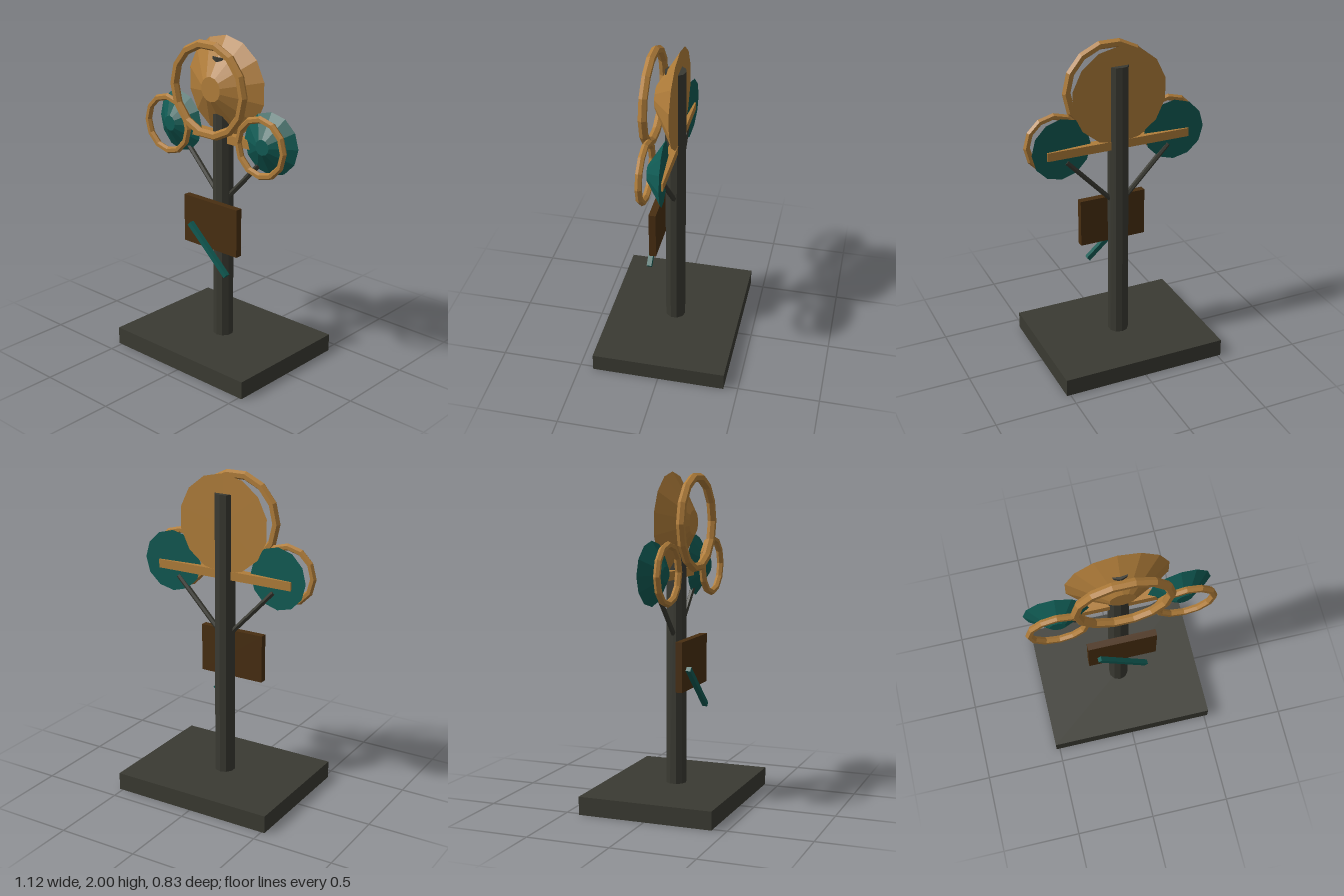
import * as THREE from 'three';

function flat(name, color) {
  const m = new THREE.MeshStandardMaterial({ color, flatShading: true });
  m.name = name;
  return m;
}

export function createModel() {
  const model = new THREE.Group();
  const charcoal = flat('charcoal', 0x3a3a32);
  const gold = flat('gold', 0xb07d3a);
  const teal = flat('teal', 0x105a53);
  const brown = flat('brown', 0x482e11);

  function add(name, geometry, material, x, y, z) {
    const mesh = new THREE.Mesh(geometry, material);
    mesh.name = name;
    mesh.position.set(x, y, z);
    model.add(mesh);
    return mesh;
  }

  // Truncated cone lying on its back, narrow end toward +z
  function dishGeometry(front, back, depth, sides) {
    return new THREE.CylinderGeometry(front, back, depth, sides)
      .translate(0, depth / 2, 0)
      .rotateX(Math.PI / 2);
  }

  // Stand
  add('base', new THREE.BoxGeometry(1.044, 0.11, 0.826), charcoal, 0, 0.055, 0);
  add('pole', new THREE.CylinderGeometry(0.063, 0.063, 1.77, 10), charcoal, 0, 0.995, 0);
  add('crossbar', new THREE.BoxGeometry(0.91, 0.053, 0.054), gold, 0, 1.392, 0);

  // Large central dish and its floating ring
  add('mainDish', dishGeometry(0.075, 0.3, 0.135, 14), gold, 0, 1.7, -0.025);
  add('mainRing', new THREE.TorusGeometry(0.27, 0.027, 6, 14), gold, 0, 1.7, 0.13);

  // Side dishes turned slightly outward, with rings and diagonal struts
  for (const side of [1, -1]) {
    const prefix = side > 0 ? 'left' : 'right';
    const dish = add(prefix + 'Dish', dishGeometry(0.047, 0.19, 0.09, 12), teal, side * 0.362, 1.42, -0.01);
    dish.rotation.y = side * 0.08;
    add(prefix + 'Ring', new THREE.TorusGeometry(0.169, 0.021, 6, 12), gold, side * 0.37, 1.42, 0.0925);

    const low = new THREE.Vector3(side * 0.04, 1.025, 0);
    const high = new THREE.Vector3(side * 0.33, 1.33, 0);
    const mid = low.clone().add(high).multiplyScalar(0.5);
    const strut = add(prefix + 'Strut', new THREE.CylinderGeometry(0.016, 0.016, low.distanceTo(high), 6), charcoal, mid.x, mid.y, 0);
    strut.quaternion.setFromUnitVectors(new THREE.Vector3(0, 1, 0), high.sub(low).normalize());
  }

  // Sign board with a slanted bar across it
  add('board', new THREE.BoxGeometry(0.426, 0.3, 0.043), brown, 0, 0.86, 0.097);
  const bar = add('slantedBar', new THREE.BoxGeometry(0.4, 0.03, 0.03), teal, 0, 0.71, 0.134);
  bar.rotation.z = -0.733;

  return model;
}
